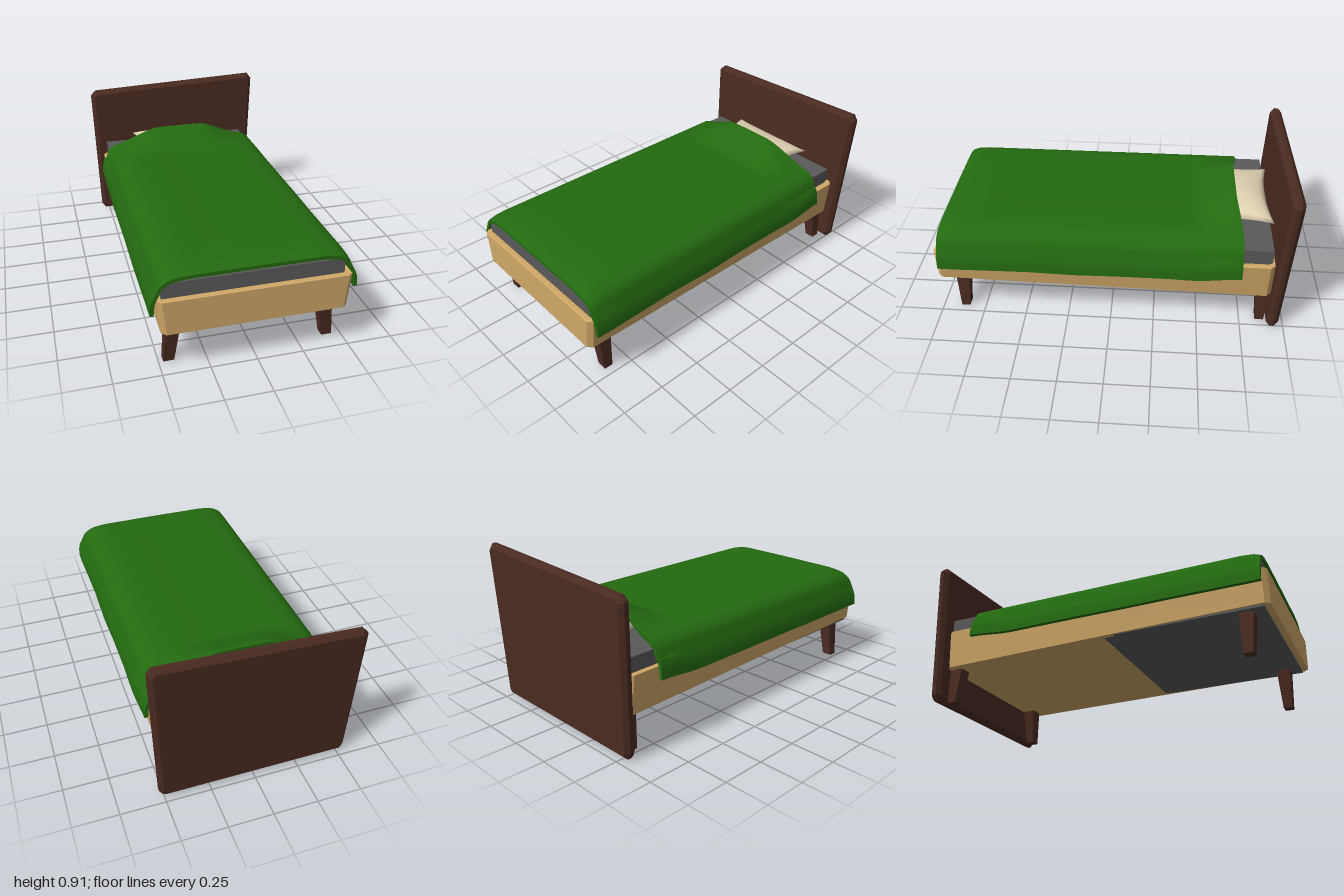
import * as THREE from 'three';
import { toCreasedNormals } from 'three/addons/utils/BufferGeometryUtils.js';

const mat = (name, color, side = THREE.FrontSide) => {
  const m = new THREE.MeshStandardMaterial({ color, side });
  m.name = name;
  return m;
};

// Moves every vertex of a geometry by a rule
function warp(geo, rule) {
  const p = geo.attributes.position, v = new THREE.Vector3();
  for (let i = 0; i < p.count; i++) {
    rule(v.fromBufferAttribute(p, i));
    p.setXYZ(i, v.x, v.y, v.z);
  }
  geo.computeVertexNormals();
  return geo;
}

// Closed surface from equal rings of points, with strip caps for folded sheets
function loft(rings) {
  const n = rings[0].length, last = rings.length - 1, pos = [], idx = [];
  rings.forEach(r => r.forEach(p => pos.push(...p)));
  for (let j = 0; j < last; j++) {
    for (let i = 0; i < n; i++) {
      const a = j * n + i, b = j * n + (i + 1) % n;
      idx.push(a, b, a + n, b, b + n, a + n);
    }
  }
  for (let i = 0; i < n / 2 - 1; i++) {
    const a = i, b = i + 1, c = n - 2 - i, d = n - 1 - i, e = last * n;
    idx.push(a, d, b, b, d, c, e + a, e + b, e + d, e + b, e + c, e + d);
  }
  const g = new THREE.BufferGeometry();
  g.setAttribute('position', new THREE.Float32BufferAttribute(pos, 3));
  g.setIndex(idx);
  g.computeVertexNormals();
  return toCreasedNormals(g, 0.9);
}

export function createModel() {
  const wood = mat('darkWood', 0x4a2b21);
  const oak = mat('lightWood', 0xd0a868);
  const grey = mat('mattressGrey', 0x5a5a5a);
  const green = mat('blanketGreen', 0x246a10, THREE.DoubleSide);
  const cream = mat('pillowCream', 0xe2d3b4);

  const bed = new THREE.Group();
  bed.name = 'bed';
  const add = (name, geo, m) => {
    const mesh = new THREE.Mesh(geo, m);
    mesh.name = name;
    bed.add(mesh);
  };
  const box = (w, h, d, x, y, z) => new THREE.BoxGeometry(w, h, d).translate(x, y, z);
  const poly = (pts, Type = THREE.Shape) => new Type(pts.map(p => new THREE.Vector2(...p)));

  // Headboard: lopsided bevelled panel that leans back
  const bv = 0.022;
  const board = new THREE.ExtrudeGeometry(poly([
    [-0.515, bv], [0.49, bv], [0.503, 0.04], [0.543, 0.868],
    [0.53, 0.886], [-0.53, 0.844], [-0.548, 0.825], [-0.527, 0.04],
  ]), { depth: 0.022, bevelSize: bv, bevelThickness: bv, bevelSegments: 1 });
  add('headboard', warp(board, v => { v.z += -0.946 - 0.035 * v.y; }), wood);

  // Frame: hollow surround, narrower at the bottom, its underside falling to the back
  const c = -0.008, drop = z => 0.2225 + 0.016 * z;
  const k = 0.02, hw = 0.497, zf = 0.99, zb = -0.9;
  const rim = poly([
    [-hw + k, zb], [hw - k, zb], [hw, zb + k], [hw, zf - k],
    [hw - k, zf], [-hw + k, zf], [-hw, zf - k], [-hw, zb + k],
  ]);
  rim.holes.push(poly([[-0.488, -0.905], [-0.488, 0.972], [0.488, 0.972], [0.488, -0.905]]
    .map(([x, z]) => [x * 0.985, z < 0 ? -0.89 : z]), THREE.Path));
  const frame = new THREE.ExtrudeGeometry(rim,
    { depth: 0.98, bevelSize: 0.01, bevelThickness: 0.01, bevelSegments: 1 });
  frame.rotateX(Math.PI / 2).translate(0, 0.99, 0);
  frame.scale(1, 1, 1);
  add('frame', warp(frame, v => {
    const t = v.y, low = drop(v.z);
    v.x = c + v.x * (0.965 + 0.04 * t);
    v.y = low + (0.432 - low) * t;
  }), oak);
  add('frameBase', warp(box(0.95, 0.014, 1.87, c, 0.007, 0.04), v => { v.y += drop(v.z) + 0.001; }), oak);

  // Mattress, its underside showing below the front of the frame
  add('mattress', box(0.95, 0.29, 1.862, -0.015, 0.37, 0.035), grey);

  // Tapered legs, splayed outward
  for (const s of [-1, 1]) {
    for (const [name, z] of [['frontLeg', 0.87], ['backLeg', -0.868]]) {
      const leg = warp(box(1, 1, 1, 0, 0.5, 0), v => {
        const t = v.y;
        v.x = -0.012 + s * (0.435 - 0.028 * t) + v.x * (0.058 + 0.018 * t);
        v.z = z + v.z * (0.05 + 0.028 * t);
        v.y = t * 0.235;
      });
      add(name, leg, wood);
    }
  }

  // Pillow: two bulging sheets joined along pinched edges
  const pillow = new THREE.SphereGeometry(1, 40, 24);
  add('pillow', warp(pillow, v => {
    const r = Math.hypot(v.x, v.z), m = Math.max(Math.abs(v.x), Math.abs(v.z));
    const rad = r < 1e-6 ? 0 : Math.acos(Math.min(1, Math.abs(v.y))) / (Math.PI / 2);
    const u = r < 1e-6 ? 0 : v.x / m * rad, w = r < 1e-6 ? 0 : v.z / m * rad;
    const h = Math.pow(Math.max(0, (1 - u * u) * (1 - w * w)), 0.55);
    v.y = 0.56 + (v.y > 0 ? 0.07 : -0.05) * h * (Math.abs(v.y) < 1e-6 ? 0 : 1);
    v.x = -0.022 + 0.288 * u * (1 - 0.13 * (1 - w * w));
    v.z = -0.69 + 0.22 * w * (1 - 0.13 * (1 - u * u));
  }), cream);

  // Blanket: draped section carried along the bed, rising over the pillow
  const side = [[0.54, 0.345], [0.533, 0.41], [0.51, 0.47], [0.487, 0.522], [0.445, 0.553], [0.37, 0.568]];
  const ctrl = [...side, [0.2, 0.571], [0, 0.572]];
  const half = ctrl.slice(0, -1).map(([x, y]) => [-x, y]);
  const curve = new THREE.CatmullRomCurve3([...half, ...ctrl.slice().reverse()]
    .map(([x, y]) => new THREE.Vector3(x, y, 0)));
  const N = 64, thick = 0.02;
  const outer = curve.getSpacedPoints(N);
  const inner = outer.map((p, i) => {
    const t = curve.getTangentAt(i / N);
    return new THREE.Vector3(p.x + t.y * thick, p.y - t.x * thick, 0);
  });
  const section = [...outer, ...inner.reverse()];
  const steps = [0, 0.008, 0.025, 0.06, 0.15, 0.3, 0.45, 0.6, 0.75, 0.82];
  for (let i = 0; i <= 14; i++) steps.push(0.84 + 0.16 * i / 14);
  const ss = THREE.MathUtils.smoothstep;
  const rings = steps.map(s => section.map(p => {
    const g = 1 - ss(Math.abs(p.x + 0.01), 0.13, 0.42);
    const z = 0.975 - s * (1.705 - 0.035 * g);
    const rise = 0.55 * ss(-z, 0.45, 0.69) + 0.45 * THREE.MathUtils.clamp((-z - 0.48) / 0.2, 0, 1);
    const droop = 0.022 * Math.pow(Math.max(0, 1 - s / 0.05), 2);
    const hem = p.y < 0.45 ? 0.02 * ss(-z, 0.45, 0.73) : 0;
    const wave = 0.004 * Math.sin(z * 9) * (p.x > 0.45 ? 1 : 0.3) * ss(Math.abs(p.x), 0.45, 0.54);
    return [p.x - 0.01 + wave, p.y + 0.095 * g * rise - droop * ss(p.y, 0.4, 0.55) + hem, z];
  }));
  add('blanket', loft(rings), green);

  return bed;
}
